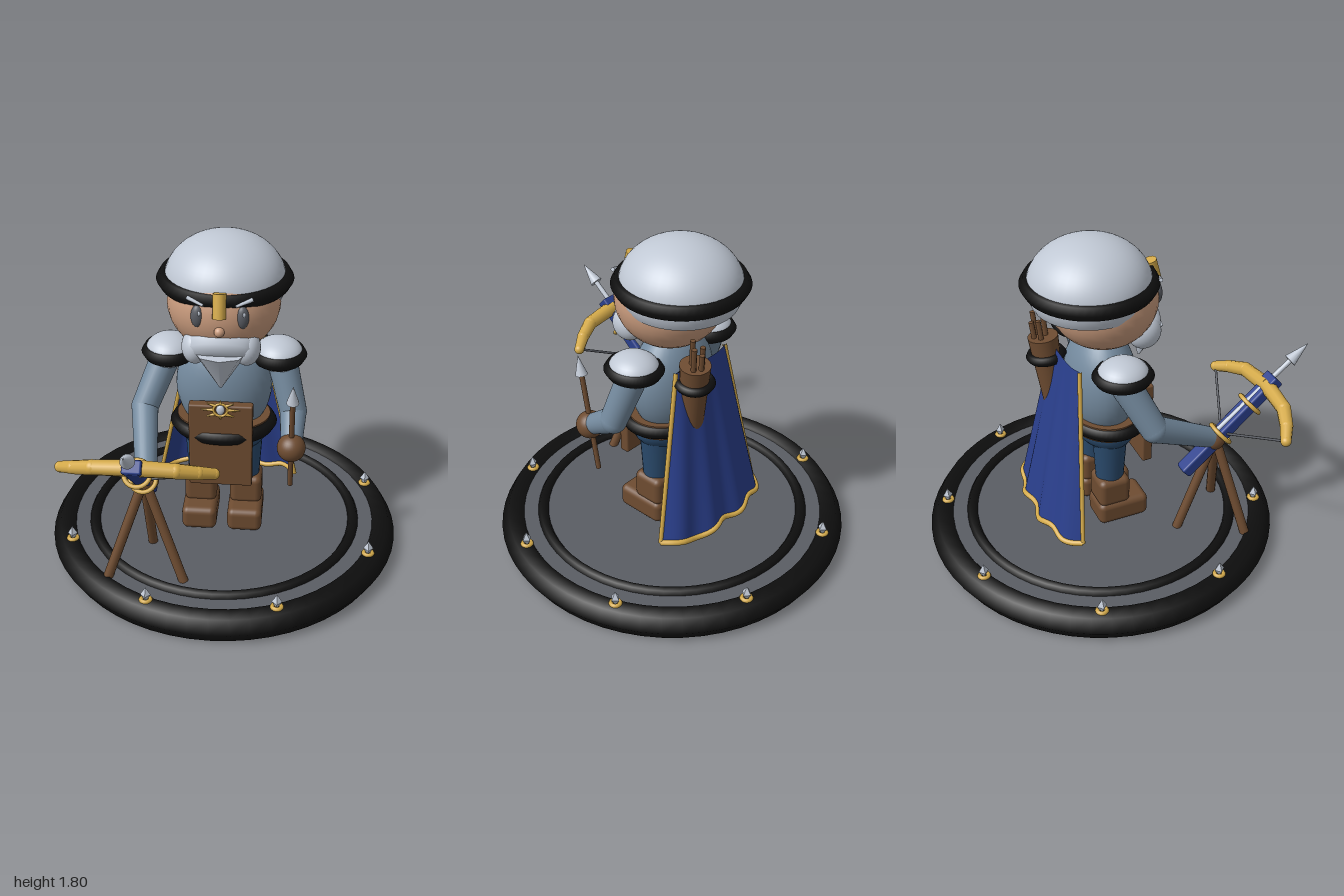
import * as THREE from 'three';
import { RoundedBoxGeometry } from 'three/addons/geometries/RoundedBoxGeometry.js';

const V = (x, y, z) => new THREE.Vector3(x, y, z);
const mat = (name, color, side = THREE.FrontSide) => {
  const m = new THREE.MeshStandardMaterial({ color, side });
  m.name = name;
  return m;
};

export function createModel() {
  const model = new THREE.Group();
  model.name = 'crossbowman';
  const black = mat('black iron', 0x0e0e0e);
  const stone = mat('grey stone', 0x5a5d64);
  const silver = mat('pale silver', 0xc0c8d4);
  const skin = mat('skin', 0xc99b7d);
  const tunic = mat('grey blue cloth', 0x748a9e);
  const trouser = mat('dark blue cloth', 0x2a4a6c);
  const blue = mat('royal blue', 0x2a3f8c, THREE.DoubleSide);
  const gold = mat('gold', 0xd4aa4a);
  const brown = mat('brown leather', 0x6e4c31);

  // Helpers
  const add = (name, geo, material, pos = [0, 0, 0], parent = model) => {
    const m = new THREE.Mesh(geo, material);
    m.name = name;
    m.position.set(...pos);
    parent.add(m);
    return m;
  };
  const ball = (name, material, pos, r, parent) => {
    const m = add(name, new THREE.SphereGeometry(1, 32, 20), material, pos, parent);
    m.scale.set(...(Array.isArray(r) ? r : [r, r, r]));
    return m;
  };
  const rod = (name, material, a, b, ra, rb = ra, sides = 16, parent = model) => {
    const p = V(...a), q = V(...b), d = q.clone().sub(p);
    const m = add(name, new THREE.CylinderGeometry(rb, ra, d.length(), sides), material,
      p.clone().lerp(q, 0.5).toArray(), parent);
    m.quaternion.setFromUnitVectors(V(0, 1, 0), d.normalize());
    return m;
  };
  // Horizontal ring with a six-sided section
  const band = (name, material, pos, R, tube, parent) => {
    const g = new THREE.TorusGeometry(R, tube, 6, 56).rotateX(Math.PI / 2);
    return add(name, g, material, pos, parent);
  };
  const tube = (name, material, pts, r, n = 40) =>
    add(name, new THREE.TubeGeometry(new THREE.CatmullRomCurve3(pts), n, r, 10), material);

  // Base with rim, inner ring and eight spikes
  const bz = -0.033;
  add('baseDisc', new THREE.CylinderGeometry(0.9, 0.91, 0.13, 64), stone, [0, 0.065, bz]);
  band('baseRim', black, [0, 0.073, bz], 0.885, 0.08);
  band('baseInnerRing', black, [0, 0.125, bz], 0.73, 0.032);
  for (let i = 0; i < 8; i++) {
    const a = (i + 0.5) * Math.PI / 4;
    const x = Math.cos(a) * 0.87, z = bz + Math.sin(a) * 0.87;
    const s = add('baseSpike', new THREE.OctahedronGeometry(1), silver, [x, 0.178, z]);
    s.scale.set(0.027, 0.045, 0.027);
    band('spikeCollar', gold, [x, 0.146, z], 0.023, 0.012);
  }

  // Boots and legs
  for (const s of [-1, 1]) {
    add('bootFoot', new RoundedBoxGeometry(0.19, 0.135, 0.29, 3, 0.035), brown, [s * 0.125, 0.207, 0.02]);
    add('bootShaft', new RoundedBoxGeometry(0.175, 0.17, 0.18, 3, 0.035), brown, [s * 0.125, 0.34, -0.03]);
    rod('leg', trouser, [s * 0.118, 0.38, -0.03], [s * 0.118, 0.7, -0.03], 0.075, 0.095, 24);
  }

  // Body, belt and apron
  ball('hips', trouser, [0, 0.72, -0.02], [0.24, 0.145, 0.17]);
  ball('torso', tunic, [0, 0.98, -0.035], [0.255, 0.31, 0.185]);
  const strap = add('beltStrap', new THREE.CylinderGeometry(0.25, 0.25, 0.085, 40), brown, [0, 0.765, -0.02]);
  strap.scale.z = 0.8;
  band('belt', black, [0, 0.768, -0.005], 0.25, 0.036).scale.z = 0.83;
  add('apron', new RoundedBoxGeometry(0.334, 0.49, 0.057, 2, 0.01), brown, [0, 0.72, 0.174]);

  // Brooch
  ball('broochStone', silver, [0, 0.945, 0.207], [0.022, 0.028, 0.015]);
  add('broochRing', new THREE.TorusGeometry(0.036, 0.007, 8, 24), gold, [0, 0.945, 0.207]);
  for (let i = 0; i < 8; i++) {
    const a = i * Math.PI / 4, c = Math.cos(a), s = Math.sin(a);
    rod('broochRay', gold, [c * 0.04, 0.945 + s * 0.035, 0.207],
      [c * 0.1, 0.945 + s * 0.055, 0.207], 0.009, 0.003, 8);
  }

  // Shoulder guards
  for (const s of [-1, 1]) {
    ball('shoulderDome', silver, [s * 0.285, 1.165, -0.03], [0.128, 0.088, 0.135]);
    band('shoulderRim', black, [s * 0.285, 1.163, -0.03], 0.113, 0.035).scale.z = 1.08;
  }

  // Arms
  const arm = (name, shoulder, elbow, hand, r) => {
    rod(name + 'UpperArm', tunic, shoulder, elbow, 0.08, 0.072, 24);
    ball(name + 'Elbow', tunic, elbow, 0.072);
    rod(name + 'Forearm', tunic, elbow, hand, 0.071, 0.055, 24);
    ball(name + 'Hand', brown, hand, r);
  };
  arm('left', [0.3, 1.14, -0.04], [0.372, 0.86, 0.04], [0.37, 0.745, 0.22], 0.075);
  arm('right', [-0.3, 1.14, -0.04], [-0.41, 0.88, 0.09], [-0.355, 0.675, 0.47], 0.066);

  // Hand bolt
  rod('boltShaft', brown, [0.37, 0.48, 0.17], [0.37, 1.05, 0.268], 0.014);
  rod('boltHead', silver, [0.37, 1.04, 0.266], [0.37, 1.145, 0.287], 0.033, 0.001);

  // Head and face
  ball('head', skin, [0, 1.465, -0.02], [0.29, 0.265, 0.285]);
  ball('nose', skin, [0, 1.42, 0.265], 0.026);
  for (const s of [-1, 1]) {
    ball('eye', stone, [s * 0.11, 1.485, 0.228], [0.033, 0.06, 0.028]);
    ball('eyeGlint', silver, [s * 0.11 + 0.01, 1.51, 0.252], [0.007, 0.012, 0.005]);
    rod('brow', silver, [s * 0.16, 1.582, 0.225], [s * 0.08, 1.555, 0.255], 0.011, 0.007, 8);
  }
  tube('moustache', silver, [V(-0.135, 1.27, 0.15), V(-0.09, 1.315, 0.19), V(0, 1.33, 0.205),
    V(0.09, 1.315, 0.19), V(0.135, 1.27, 0.15)], 0.07);
  for (const s of [-1, 1]) ball('moustacheEnd', silver, [s * 0.13, 1.285, 0.155], [0.07, 0.09, 0.09]);
  rod('beard', silver, [0, 1.285, 0.215], [0, 1.07, 0.185], 0.135, 0.008, 8).scale.z = 0.65;

  // Helmet
  const dome = add('helmetDome',
    new THREE.SphereGeometry(1, 40, 24, 0, Math.PI * 2, 0, Math.PI * 0.63), silver, [0, 1.55, -0.09]);
  dome.scale.set(0.312, 0.248, 0.318);
  band('helmetBand', black, [0, 1.563, -0.09], 0.31, 0.041);
  rod('noseGuard', gold, [0, 1.495, 0.272], [0, 1.615, 0.24], 0.033);

  // Cape with waved cloth and gold trim
  const capePoint = (u, t) => V(
    u * (0.19 + 0.2 * t),
    1.175 - 0.945 * t + 0.012 * t * Math.sin(u * 9),
    -0.225 - 0.075 * t - (1 - u ** 4) * (0.03 + 0.1 * t) + 0.014 * t * Math.cos(u * 11));
  const capeGeo = new THREE.PlaneGeometry(2, 1, 40, 12);
  const p = capeGeo.attributes.position;
  for (let i = 0; i < p.count; i++) {
    const q = capePoint(-p.getX(i), 0.5 - p.getY(i));
    p.setXYZ(i, q.x, q.y, q.z);
  }
  capeGeo.computeVertexNormals();
  add('cape', capeGeo, blue);
  const steps = [...Array(21).keys()].map(i => i / 20);
  for (const s of [-1, 1]) tube('capeSideTrim', gold, steps.map(t => capePoint(s, t)), 0.012);
  tube('capeHemTrim', gold, steps.map(t => capePoint(t * 2 - 1, 1)), 0.016, 60);

  // Quiver with spare bolts
  rod('quiver', brown, [0.08, 0.62, -0.235], [0.13, 1.225, -0.3], 0.045, 0.08, 24);
  const cuff = band('quiverCuff', black, [0.12, 1.115, -0.288], 0.082, 0.025);
  cuff.rotation.set(-0.1, 0, -0.08);
  [[0, 0.02], [0.035, -0.02], [-0.035, -0.015], [0, -0.04]].forEach(([dx, dz], i) =>
    rod('quiverBolt', brown, [0.125 + dx, 1.1, -0.29 + dz],
      [0.145 + dx, 1.37 - i * 0.02, -0.315 + dz], 0.014, 0.014, 8));

  // Tripod stand
  for (const [x, z] of [[-0.56, 0.59], [-0.16, 0.59], [-0.365, 0.27]])
    rod('tripodLeg', brown, [x, 0.125, z], [-0.365, 0.68, 0.475], 0.026, 0.026, 12);

  // Crossbow stock, tilted upward, its own +z pointing forward
  const bow = new THREE.Group();
  bow.name = 'crossbow';
  bow.position.set(-0.365, 0.74, 0.55);
  bow.rotation.x = -0.725;
  model.add(bow);
  add('stock', new RoundedBoxGeometry(0.078, 0.068, 0.69, 2, 0.012), blue, [0, 0, 0], bow);
  add('stockNose', new RoundedBoxGeometry(0.095, 0.07, 0.05, 2, 0.01), blue, [0, 0.005, 0.33], bow);
  for (const z of [0.16, -0.06])
    add('stockRing', new THREE.TorusGeometry(0.066, 0.012, 8, 28), gold, [0, 0, z], bow);
  rod('loadedBoltShaft', silver, [0, 0.035, -0.05], [0, 0.012, 0.5], 0.014, 0.014, 12, bow);
  rod('loadedBoltHead', silver, [0, 0.014, 0.47], [0, 0.008, 0.6], 0.036, 0.001, 16, bow);

  // Bow limbs and string, mirrored about the stock
  const limb = [[0, 0.94, 0.765, 0.042], [0.2, 0.925, 0.75, 0.038], [0.3, 0.893, 0.71, 0.034],
    [0.375, 0.862, 0.665, 0.028]];
  for (const s of [-1, 1]) {
    const at = k => [-0.365 + s * limb[k][0], limb[k][1], limb[k][2]];
    for (let k = 0; k < 3; k++) {
      rod('bowLimb', gold, at(k), at(k + 1), limb[k][3], limb[k + 1][3], 10);
      ball('bowJoint', gold, at(k + 1), limb[k + 1][3]);
    }
    rod('bowString', stone, at(3), [-0.365, 0.7, 0.51], 0.007, 0.007, 8);
  }
  return model;
}
